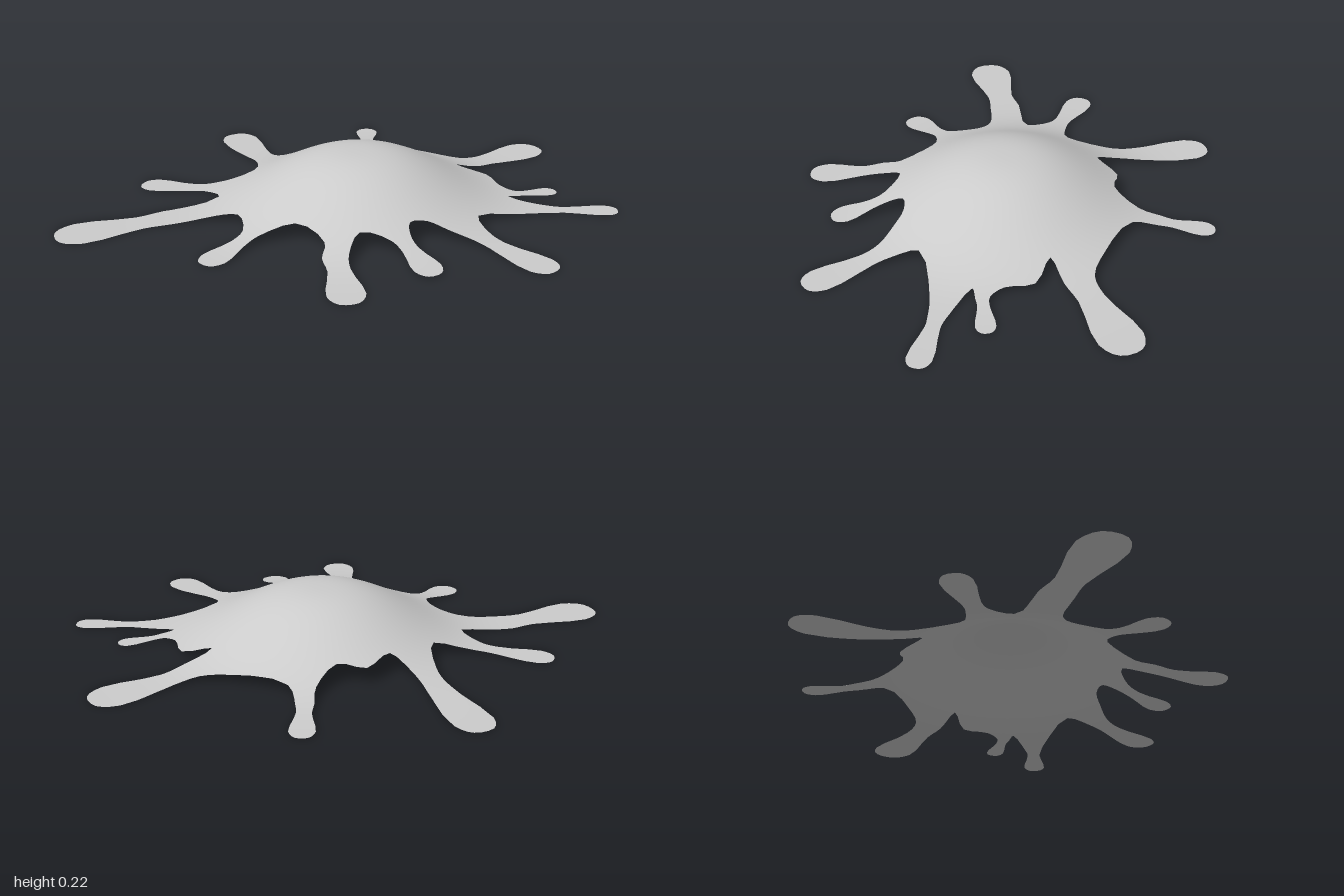
import * as THREE from 'three';

const v2 = (x, z) => new THREE.Vector2(x, z);

// Low dome that fades into a flat sheet
const height = r => 0.222 * Math.exp(-Math.pow(r / 0.44, 2.58));

// Rim of one arm: flared root, narrow neck, round bulb, and back again
function arm(neckX, neckZ, bulbX, bulbZ, radius) {
  const neck = v2(neckX, neckZ), bulb = v2(bulbX, bulbZ);
  const along = bulb.clone().sub(neck).normalize();
  const side = v2(along.y, -along.x);
  const at = (from, forward, sideways) =>
    from.clone().addScaledVector(along, forward * radius).addScaledVector(side, sideways * radius);
  const tip = [90, 30, -30, -90].map(THREE.MathUtils.degToRad)
    .map(a => at(bulb, Math.cos(a), Math.sin(a)));
  return [
    at(neck, -1.15, 0.72), at(neck, 0, 0.6),
    ...tip,
    at(neck, 0, -0.6), at(neck, -1.15, -0.72),
  ];
}

// Smooth closed outline: arms and the body edge between them, from the back round by the left
function outline() {
  const points = [
    ...arm(0.185, -0.69, 0.255, -0.91, 0.088),
    v2(0.18, -0.46), v2(0.3, -0.51), v2(0.4, -0.45),
    ...arm(0.515, -0.47, 0.575, -0.555, 0.038),
    v2(0.49, -0.375),
    ...arm(0.72, -0.435, 0.855, -0.535, 0.047),
    v2(0.63, -0.3), v2(0.52, -0.09),
    ...arm(0.68, 0.03, 0.88, 0.055, 0.068),
    v2(0.5, 0.1), v2(0.43, 0.13), v2(0.39, 0.19),
    ...arm(0.47, 0.3, 0.575, 0.342, 0.057),
    v2(0.28, 0.36),
    ...arm(0.335, 0.555, 0.455, 0.665, 0.07),
    v2(0.2, 0.47), v2(0.04, 0.45),
    ...arm(-0.097, 0.62, -0.1, 0.75, 0.058),
    v2(-0.235, 0.475), v2(-0.33, 0.505),
    ...arm(-0.555, 0.7, -0.67, 0.91, 0.095),
    v2(-0.44, 0.37),
    ...arm(-0.63, 0.33, -0.79, 0.4, 0.06),
    v2(-0.465, 0.13),
    ...arm(-0.62, -0.09, -0.88, -0.222, 0.08),
    v2(-0.42, -0.1), v2(-0.41, -0.23), v2(-0.32, -0.3), v2(-0.33, -0.43),
    ...arm(-0.39, -0.57, -0.463, -0.665, 0.048),
    v2(-0.24, -0.485), v2(-0.02, -0.55),
  ];
  const curve = new THREE.CatmullRomCurve3(points.map(p => new THREE.Vector3(p.x, 0, p.y)), true);
  return curve.getPoints(points.length * 3).slice(0, -1).map(p => v2(p.x, p.z));
}

// Fill the outline, halving long edges so the sheet can bend over the dome
function splatGeometry() {
  const rim = outline();
  const maxEdge = 0.06;
  const positions = [], normals = [];

  const addVertex = p => {
    const r = p.length(), e = 0.005;
    const slope = (height(r + e) - height(Math.max(0, r - e))) / (2 * e);
    const n = new THREE.Vector3(r ? -slope * p.x / r : 0, 1, r ? -slope * p.y / r : 0).normalize();
    positions.push(p.x, height(r), p.y);
    normals.push(n.x, n.y, n.z);
  };

  const stack = THREE.ShapeUtils.triangulateShape(rim, []).map(face => face.map(i => rim[i]));
  while (stack.length) {
    const t = stack.pop();
    const lengths = t.map((p, i) => p.distanceTo(t[(i + 1) % 3]));
    const longest = Math.max(...lengths);
    if (longest > maxEdge) {
      const i = lengths.indexOf(longest);
      const a = t[i], b = t[(i + 1) % 3], c = t[(i + 2) % 3];
      const mid = a.clone().add(b).multiplyScalar(0.5);
      stack.push([a, mid, c], [mid, b, c]);
      continue;
    }
    // keep every face pointing up
    const u = t[1].clone().sub(t[0]), v = t[2].clone().sub(t[0]);
    (u.y * v.x - u.x * v.y > 0 ? t : [t[0], t[2], t[1]]).forEach(addVertex);
  }

  const geometry = new THREE.BufferGeometry();
  geometry.setAttribute('position', new THREE.Float32BufferAttribute(positions, 3));
  geometry.setAttribute('normal', new THREE.Float32BufferAttribute(normals, 3));
  return geometry;
}

export function createModel() {
  const group = new THREE.Group();
  group.name = 'splat';
  const material = new THREE.MeshStandardMaterial({ color: 0xcccccc, side: THREE.DoubleSide });
  const sheet = new THREE.Mesh(splatGeometry(), material);
  sheet.name = 'splatSheet';
  group.add(sheet);
  return group;
}
